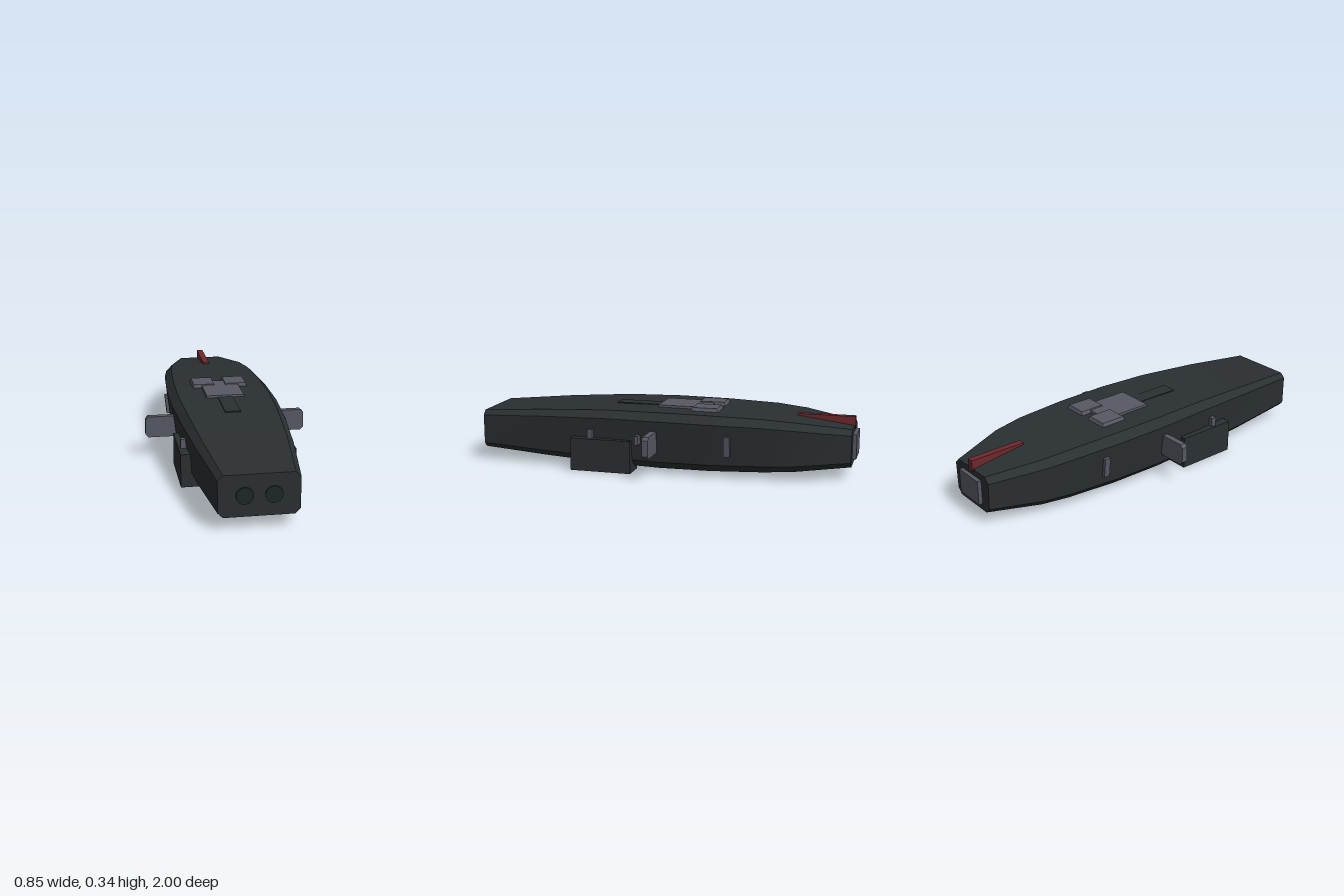
import * as THREE from 'three';
import { toCreasedNormals } from 'three/addons/utils/BufferGeometryUtils.js';

const paint = (color) => new THREE.MeshStandardMaterial({ color });

// z, half width at top of side, half width at bottom of side, bottom y, top y, chamfer
const STATIONS = [
  [0.99, 0.19, 0.19, 0.065, 0.268, 0.025],
  [0.62, 0.237, 0.226, 0.046, 0.298, 0.032],
  [0.28, 0.268, 0.247, 0.031, 0.318, 0.038],
  [0, 0.283, 0.257, 0.025, 0.322, 0.04],
  [-0.28, 0.28, 0.255, 0.027, 0.32, 0.04],
  [-0.55, 0.262, 0.24, 0.036, 0.313, 0.038],
  [-0.71, 0.237, 0.22, 0.046, 0.3, 0.035],
  [-0.98, 0.145, 0.14, 0.07, 0.265, 0.028],
];

// Octagonal section, counter-clockwise seen from the front
function section([z, wt, wb, y0, y1, c]) {
  const right = [[wb - c, y0], [wb, y0 + c], [wt, y1 - c], [wt - c, y1]];
  const left = right.map(([x, y]) => [-x, y]).reverse();
  return [...right, ...left].map(([x, y]) => [x, y, z]);
}

function hullGeometry() {
  const rings = STATIONS.map(section);
  const n = rings[0].length;
  const pos = [];
  const tri = (a, b, c) => pos.push(...a, ...b, ...c);
  for (let i = 0; i < rings.length - 1; i++) {
    const a = rings[i], b = rings[i + 1];
    for (let j = 0; j < n; j++) {
      const k = (j + 1) % n;
      tri(a[j], b[j], b[k]);
      tri(a[j], b[k], a[k]);
    }
  }
  const front = rings[0], rear = rings[rings.length - 1];
  for (let j = 1; j < n - 1; j++) {
    tri(front[0], front[j], front[j + 1]);
    tri(rear[0], rear[j + 1], rear[j]);
  }
  const g = new THREE.BufferGeometry();
  g.setAttribute('position', new THREE.Float32BufferAttribute(pos, 3));
  return toCreasedNormals(g, 0.45);
}

// Box given by its limits
function block(x0, x1, y0, y1, z0, z1) {
  const g = new THREE.BoxGeometry(x1 - x0, y1 - y0, z1 - z0);
  return g.translate((x0 + x1) / 2, (y0 + y1) / 2, (z0 + z1) / 2);
}

// Box whose top face is drawn in by an amount on each side
function bevelBlock(x0, x1, y0, y1, z0, z1, inset) {
  const g = block(x0, x1, y0, y1, z0, z1);
  const p = g.attributes.position;
  for (let i = 0; i < p.count; i++) {
    if (p.getY(i) < (y0 + y1) / 2) continue;
    p.setX(i, p.getX(i) - Math.sign(p.getX(i) - (x0 + x1) / 2) * inset);
    p.setZ(i, p.getZ(i) - Math.sign(p.getZ(i) - (z0 + z1) / 2) * inset);
  }
  g.computeVertexNormals();
  return g;
}

// Stubby fin with cut outer corners
function finGeometry(s) {
  const c = 0.016, y0 = 0.117, y1 = 0.23, x = 0.425;
  const pts = [[0.25, y0], [x - c, y0], [x, y0 + c], [x, y1 - c], [x - c, y1], [0.25, y1]];
  const shape = new THREE.Shape(pts.map(([px, py]) => new THREE.Vector2(s * px, py)));
  return new THREE.ExtrudeGeometry(shape, { depth: 0.032, bevelEnabled: false }).translate(0, 0, -0.007);
}

export function createModel() {
  const model = new THREE.Group();
  const dark = paint(0x2a2f32), grey = paint(0x565963), red = paint(0x6e282c), bore = paint(0x1c2626);
  const add = (name, geometry, material) => {
    const mesh = new THREE.Mesh(geometry, material);
    mesh.name = name;
    model.add(mesh);
    return mesh;
  };
  // Box on one side of the hull, mirrored by the sign s
  const sideBlock = (s, x0, x1, ...rest) => (s > 0 ? block(x0, x1, ...rest) : block(-x1, -x0, ...rest));

  add('hull', hullGeometry(), dark);

  // Parts on both flanks
  for (const s of [1, -1]) {
    const side = s > 0 ? 'left' : 'right';
    add(side + 'SidePod', sideBlock(s, 0.17, 0.29, 0, 0.172, 0.13, 0.455), dark);
    add(side + 'Fin', finGeometry(s), grey);
    add(side + 'FrontSlot', sideBlock(s, 0.23, 0.279, 0.16, 0.22, 0.338, 0.365), grey);
    const slot = add(side + 'RearSlot', sideBlock(s, -0.02, 0.02, -0.052, 0.052, -0.016, 0.016), grey);
    slot.position.set(s * 0.258, 0.173, -0.373);
    slot.rotation.z = -s * 0.1;

    // Front tubes
    const tube = new THREE.CylinderGeometry(0.041, 0.041, 0.02, 16).rotateX(Math.PI / 2);
    add(side + 'FrontTube', tube.translate(s * 0.067, 0.167, 0.987), bore);
  }
  add('sideStub', block(0.25, 0.315, 0.16, 0.207, 0.08, 0.097), grey);

  // Deck plates
  add('deckHatch', block(-0.04, 0.04, 0.3, 0.324, 0, 0.275), dark);
  add('deckPlate', bevelBlock(-0.103, 0.103, 0.305, 0.333, -0.245, 0.035, 0.004), grey);
  for (const s of [1, -1]) {
    const [x0, x1] = s > 0 ? [0.024, 0.15] : [-0.15, -0.024];
    add('rearDeckPlate', bevelBlock(x0, x1, 0.318, 0.338, -0.3, -0.155, 0.008), grey);
  }

  // Tail
  add('tailFin', block(-0.017, 0.017, 0.25, 0.311, -0.985, -0.69), red);
  add('tailPanel', block(-0.082, 0.082, 0.105, 0.232, -1, -0.96), grey);
  return model;
}
